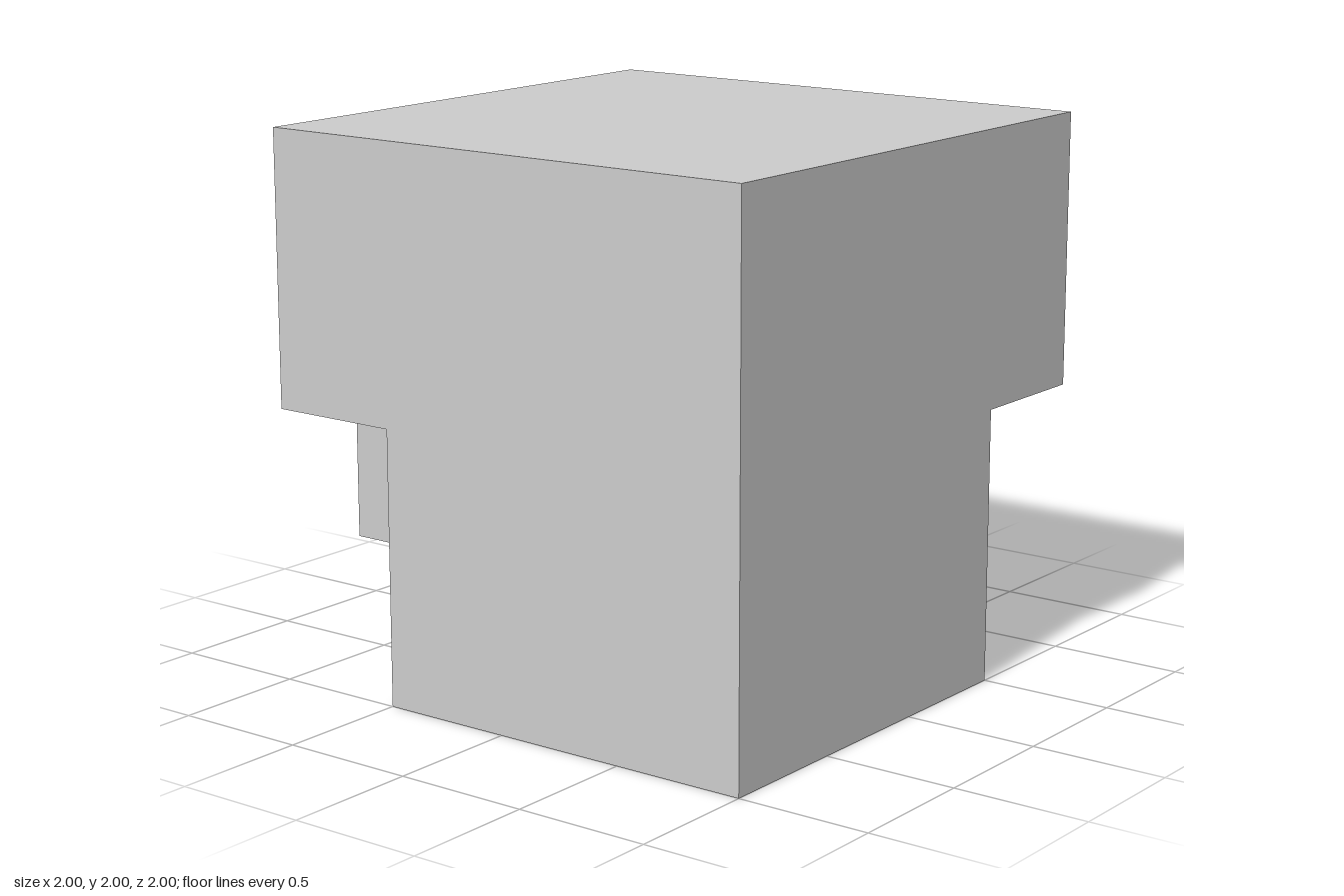
import * as THREE from 'three';

const material = new THREE.MeshStandardMaterial({ color: 0xcccccc, flatShading: true });

// Box given by its two extreme corners
function block(name, min, max) {
  const size = max.map((v, i) => v - min[i]);
  const mesh = new THREE.Mesh(new THREE.BoxGeometry(...size), material);
  mesh.position.set(...max.map((v, i) => (v + min[i]) / 2));
  mesh.name = name;
  return mesh;
}

export function createModel() {
  const model = new THREE.Group();
  model.name = 'steppedBlock';
  model.add(
    // Wide top slab overhanging the right and back sides
    block('upperSlab', [-1, 1, -1], [1, 2, 1]),
    // Narrower base, flush with the front and left sides
    block('lowerBase', [-0.5, 0, -0.5], [1, 1, 1]),
    // Small blocks tucked under the overhang
    block('backBracket', [0, 0.5, -0.875], [0.5, 1, -0.5]),
    block('sideBracket', [-0.875, 0.5, 0.25], [-0.5, 1, 0.75])
  );
  return model;
}
